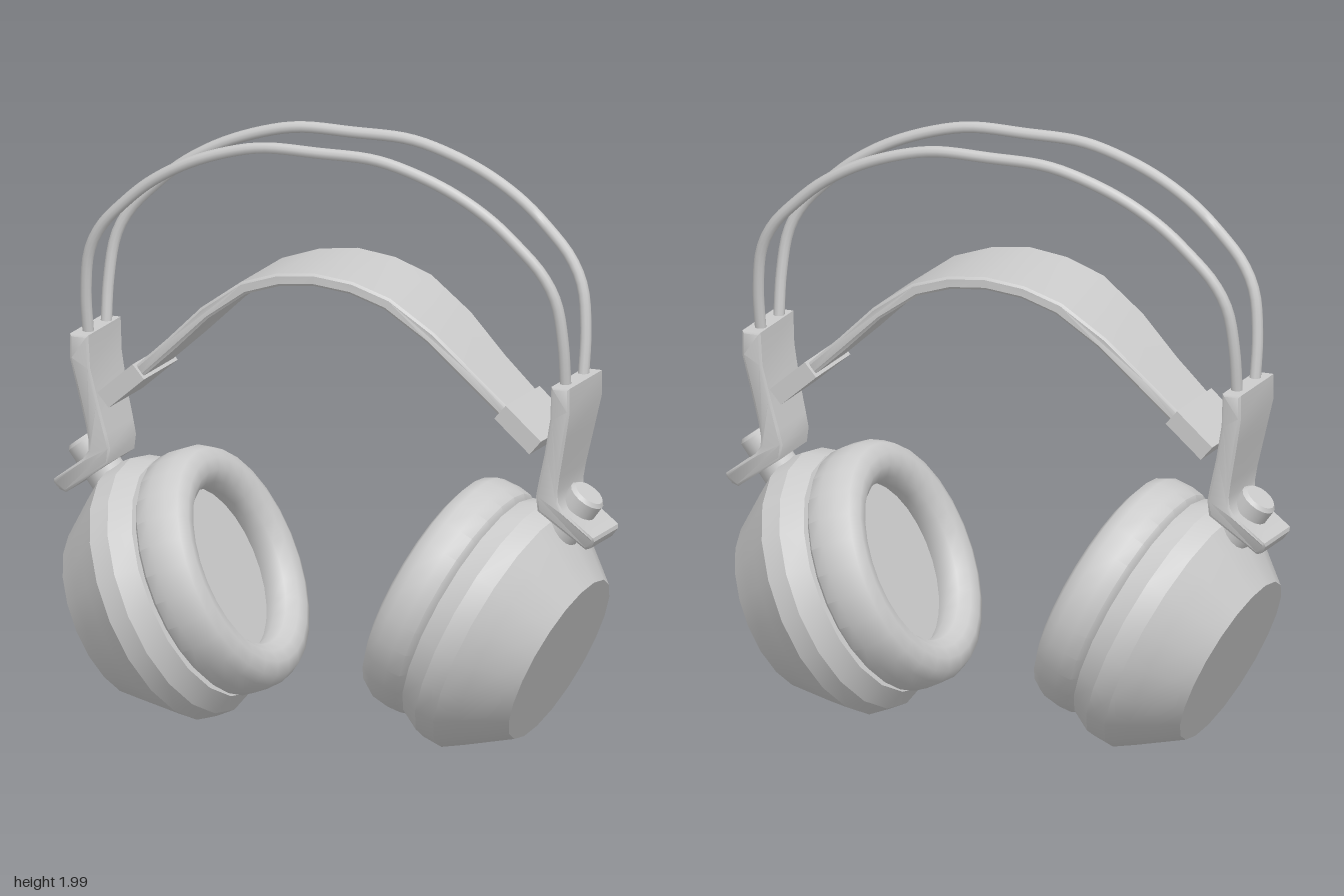
import * as THREE from 'three';
import { toCreasedNormals } from 'three/addons/utils/BufferGeometryUtils.js';

const material = new THREE.MeshStandardMaterial({ color: 0xcccccc });
const v2 = (pts) => pts.map(([x, y]) => new THREE.Vector2(x, y));

function part(name, geometry, crease = 0.6) {
  const mesh = new THREE.Mesh(toCreasedNormals(geometry, crease), material);
  mesh.name = name;
  return mesh;
}

// Interpolates a list of [key, value] pairs with ascending keys
function ramp(table, k) {
  for (let i = 1; i < table.length; i++) {
    const [k0, a] = table[i - 1], [k1, b] = table[i];
    if (k <= k1) return THREE.MathUtils.mapLinear(Math.max(k, k0), k0, k1, a, b);
  }
  return table[table.length - 1][1];
}

// Outline in the xy plane, given a depth in z that varies along the outline
function slab(name, outline, halfWidth) {
  const b = 0.008;
  const geo = new THREE.ExtrudeGeometry(new THREE.Shape(v2(outline)), {
    depth: 2 - 2 * b, bevelSize: b, bevelOffset: -b, bevelThickness: 0.04, bevelSegments: 1,
  });
  geo.translate(0, 0, -1 + b);
  const p = geo.attributes.position;
  for (let i = 0; i < p.count; i++) p.setZ(i, p.getZ(i) / 1.032 * halfWidth(p.getX(i), p.getY(i)));
  return part(name, geo);
}

function createSide() {
  const side = new THREE.Group();

  // Ear cup: lathed about a tilted axis, y pointing outward
  const cup = new THREE.Group();
  cup.name = 'earCup';
  cup.position.set(0.79, 0.33, 0);
  cup.rotation.z = -2.001;
  cup.add(part('cupShell', new THREE.LatheGeometry(v2([
    [0.36, -0.345], [0.408, -0.342], [0.443, -0.27], [0.442, -0.2],
    [0.397, -0.135], [0.342, -0.06], [0.298, 0], [0, 0],
  ]), 20), 0.45));
  cup.add(part('earCushion', new THREE.LatheGeometry(v2([
    [0, -0.41], [0.285, -0.41], [0.268, -0.45], [0.278, -0.49], [0.31, -0.518], [0.35, -0.525],
    [0.39, -0.508], [0.412, -0.47], [0.417, -0.41], [0.412, -0.365], [0.39, -0.348], [0.36, -0.335],
  ]), 28), 0.8));
  side.add(cup);

  // Arm with the bent foot that carries the pivot
  const armWidth = [[0.73, 0.085], [0.79, 0.112], [0.88, 0.108], [1.0, 0.115], [1.2, 0.137], [1.28, 0.137]];
  side.add(slab('arm', [
    [0.82, 1.28], [0.815, 1.17], [0.79, 1.05], [0.765, 0.95], [0.754, 0.9], [0.76, 0.85],
    [0.92, 0.732], [0.94, 0.74], [0.957, 0.765], [0.955, 0.778], [0.85, 0.857], [0.832, 0.885],
    [0.83, 0.92], [0.838, 0.97], [0.865, 1.1], [0.885, 1.2], [0.885, 1.28],
  ], (x, y) => ramp(armWidth, y)));

  // Pivot: knob above the foot, peg below
  const pivot = new THREE.Group();
  pivot.name = 'pivot';
  pivot.position.set(0.897, 0.9, 0);
  pivot.rotation.z = -Math.atan2(0.6, 0.8);
  pivot.add(part('knob', new THREE.LatheGeometry(v2([
    [0.063, -0.08], [0.063, -0.012], [0.052, 0], [0, 0],
  ]), 16)));
  const peg = part('peg', new THREE.CylinderGeometry(0.066, 0.066, 0.14, 16));
  peg.position.y = -0.18;
  pivot.add(peg);
  side.add(pivot);

  // Sleeve at the end of the headband
  const sleeve = part('bandSleeve', new THREE.BoxGeometry(0.165, 0.062, 0.276));
  sleeve.position.set(0.703, 1.124, 0);
  sleeve.rotation.z = Math.atan2(-0.108, 0.125);
  side.add(sleeve);
  return side;
}

export function createModel() {
  const model = new THREE.Group();
  model.name = 'headphones';

  // Each side is symmetric in z, so a half turn mirrors it
  for (const [name, turn] of [['leftSide', 0], ['rightSide', Math.PI]]) {
    const side = createSide();
    side.name = name;
    side.rotation.y = turn;
    model.add(side);
  }

  // Padded band: thickened centre line, widest at the crown
  const half = [[0, 1.565], [0.13, 1.55], [0.255, 1.508], [0.4, 1.405], [0.53, 1.28], [0.69, 1.135]];
  const line = v2([...half.slice(1).reverse().map(([x, y]) => [-x, y]), ...half]);
  const offset = (d) => line.map((p, i) => {
    const t = line[Math.min(i + 1, line.length - 1)].clone().sub(line[Math.max(i - 1, 0)]).normalize();
    return [p.x - t.y * d, p.y + t.x * d];
  });
  const bandWidth = [[0, 0.186], [0.25, 0.176], [0.4, 0.156], [0.55, 0.13], [0.7, 0.118]];
  model.add(slab('headband', [...offset(-0.021), ...offset(0.021).reverse()],
    (x) => ramp(bandWidth, Math.abs(x))));

  // Two wire hoops that lean apart towards the top
  const hoop = [[0.845, 1.25], [0.845, 1.42], [0.826, 1.56], [0.78, 1.65], [0.7, 1.735],
    [0.6, 1.82], [0.465, 1.898], [0.31, 1.955], [0.19, 1.98], [0, 1.982]];
  const spread = [[1.25, 0.07], [1.45, 0.097], [1.7, 0.124], [2, 0.147]];
  for (const [name, s] of [['frontWire', 1], ['backWire', -1]]) {
    const at = ([x, y]) => new THREE.Vector3(x, y, s * ramp(spread, y));
    const points = [...hoop.map(([x, y]) => at([-x, y])), ...hoop.slice(0, -1).reverse().map(at)];
    const curve = new THREE.CatmullRomCurve3(points);
    model.add(part(name, new THREE.TubeGeometry(curve, 72, 0.019, 10), 1));
  }
  return model;
}
